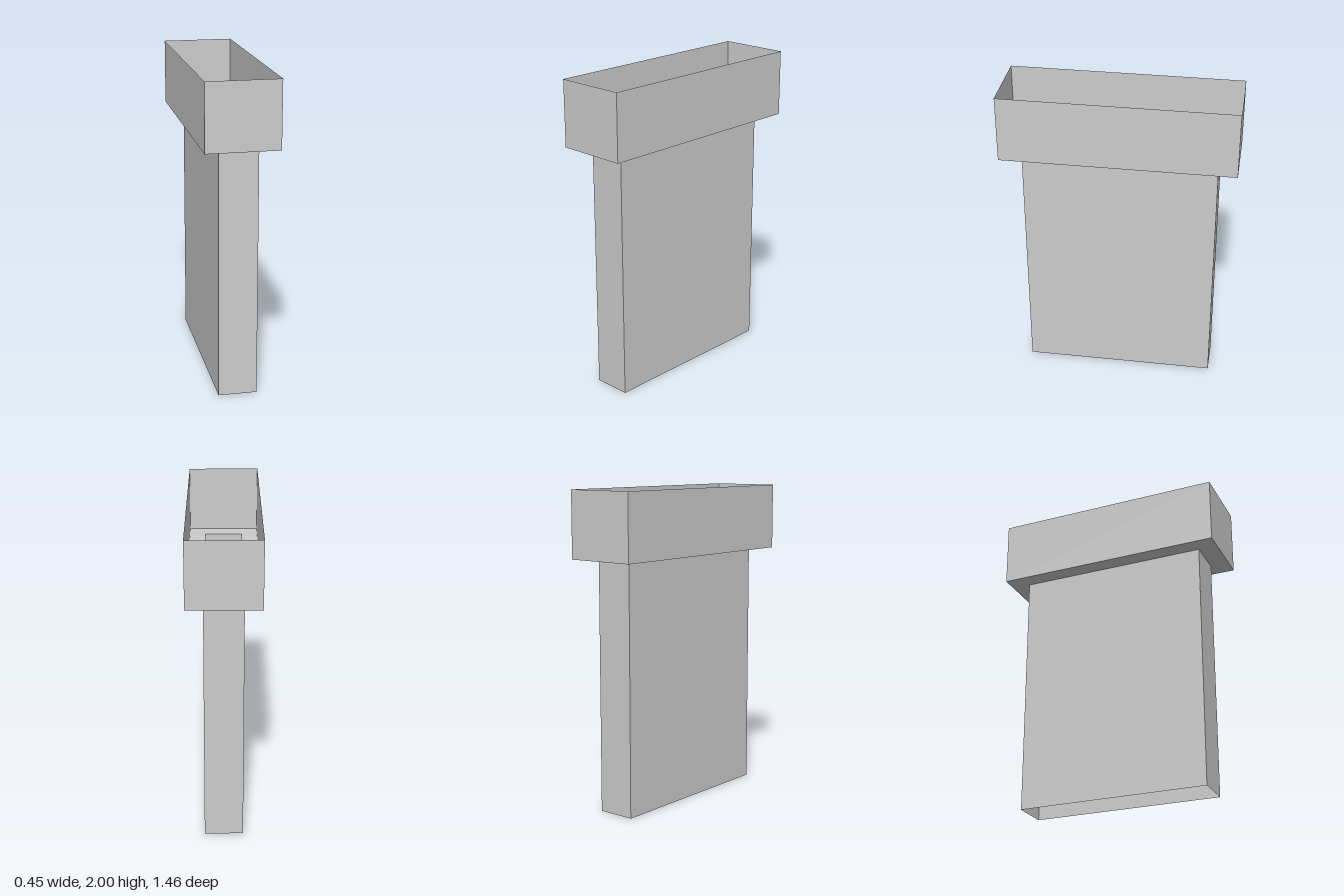
import * as THREE from 'three';
import { mergeGeometries } from 'three/addons/utils/BufferGeometryUtils.js';

// Four upright walls around a rectangle, open at top and bottom
function openWalls(halfX, halfZ, bottom, top) {
  const walls = [];
  for (let i = 0; i < 4; i++) {
    const [width, distance] = i % 2 ? [2 * halfZ, halfX] : [2 * halfX, halfZ];
    walls.push(new THREE.PlaneGeometry(width, top - bottom)
      .translate(0, (top + bottom) / 2, distance)
      .rotateY(i * Math.PI / 2));
  }
  return mergeGeometries(walls);
}

// Points of a centred rectangle
function rectangle(halfX, halfZ) {
  return [[-1, -1], [1, -1], [1, 1], [-1, 1]]
    .map(([x, z]) => new THREE.Vector2(x * halfX, z * halfZ));
}

export function createModel() {
  const model = new THREE.Group();
  model.name = 'rectangularDuct';
  const material = new THREE.MeshStandardMaterial({ color: 0xcccccc, side: THREE.DoubleSide });
  const collar = { x: 0.226, z: 0.73 };
  const sleeve = { x: 0.121, z: 0.608 };
  const ledgeY = 1.582;

  function add(name, geometry) {
    const mesh = new THREE.Mesh(geometry, material);
    mesh.name = name;
    model.add(mesh);
  }

  // Narrow lower duct and wide upper collar
  add('sleeve', openWalls(sleeve.x, sleeve.z, 0, ledgeY));
  add('collar', openWalls(collar.x, collar.z, ledgeY, 2));

  // Flat ledge joining the two, facing down, with the sleeve opening cut out
  const ring = new THREE.Shape(rectangle(collar.x, collar.z));
  ring.holes.push(new THREE.Path(rectangle(sleeve.x, sleeve.z)));
  add('ledge', new THREE.ShapeGeometry(ring).rotateX(Math.PI / 2).translate(0, ledgeY, 0));

  return model;
}
